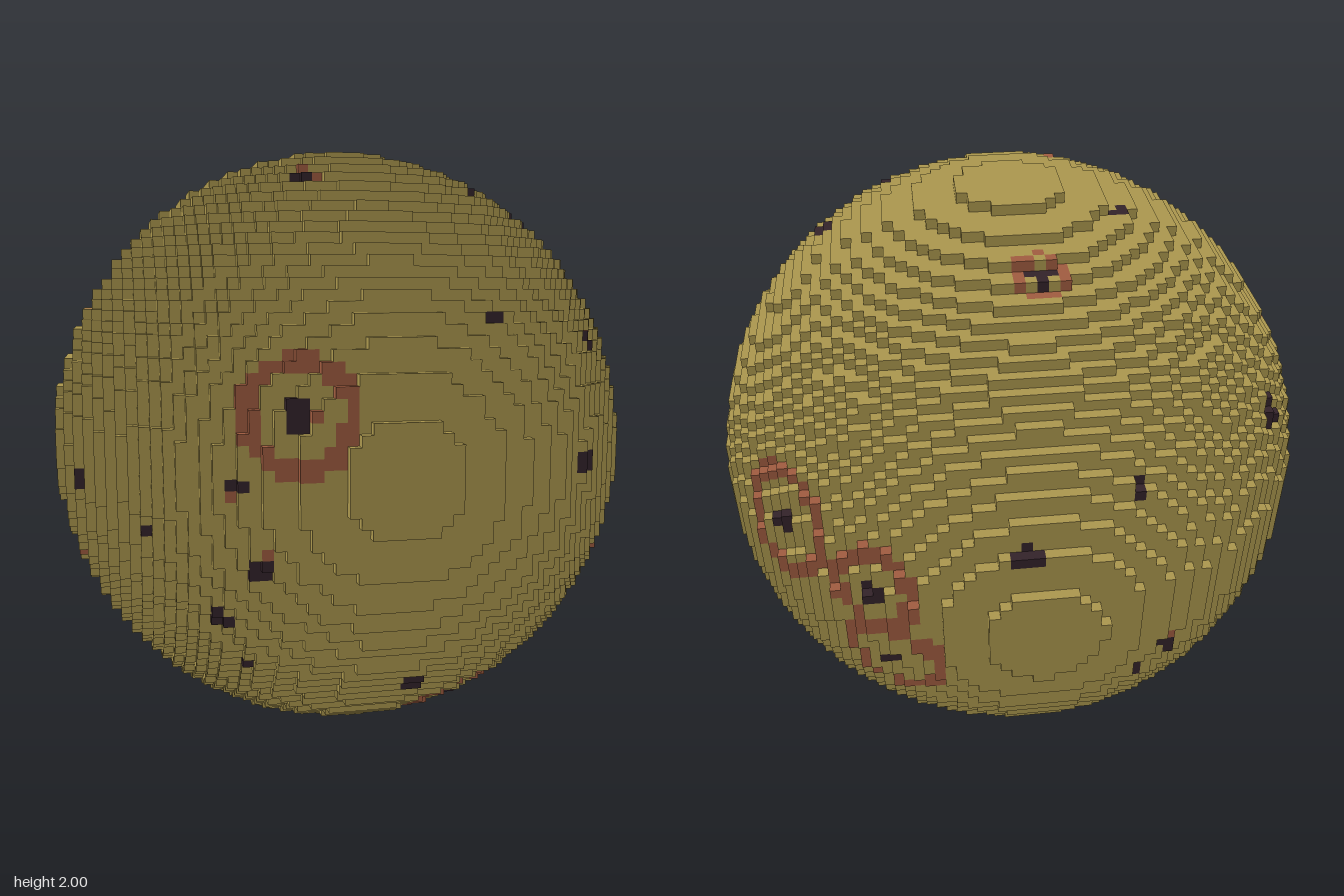
import * as THREE from 'three';

const HALF = 30;                 // cells from the centre to the surface
const CELL = 1 / HALF;
const CENTRE = [-0.06, -0.06, -0.01];  // slight offset of the ball within its grid, in cells

// Ringed craters: x, y, z, dark core radius, ring inner and outer radius
const CRATERS = [
  [-0.30, 1.19, 0.93, 0.047, 0.125, 0.185],
  [0.90, 0.73, 0.33, 0.036, 0.12, 0.18],
  [0.33, 0.15, 0.40, 0.036, 0.115, 0.17],
  [0.775, 1.20, -0.60, 0.045, 0.135, 0.197],
  [0.51, 1.11, -0.85, 0.04, 0.10, 0.157],
  [0.46, 0.82, -0.87, 0.036, 0.125, 0.183],
  [-0.05, 1.90, -0.43, 0.036, 0.05, 0.085],
];

// Plain dark pits: x, y, z, radius
const PITS = [
  [-0.47, 0.98, 0.88, 0.032], [-0.40, 0.74, 0.88, 0.042], [-0.72, 0.82, 0.67, 0.026],
  [-0.51, 0.55, 0.73, 0.042], [-0.42, 0.39, 0.67, 0.026], [0.11, 0.30, 0.70, 0.036],
  [0.63, 1.00, 0.77, 0.045], [0.30, 1.45, 0.83, 0.038], [0.70, 1.38, 0.59, 0.038],
  [0.38, 1.85, 0.32, 0.03], [0.59, 1.77, 0.20, 0.056], [-0.20, 1.89, 0.40, 0.038],
  [-0.92, 0.94, 0.37, 0.036], [0.98, 1.05, 0.02, 0.022], [0.97, 0.80, 0.11, 0.038],
  [0.97, 0.85, 0.09, 0.025], [0.87, 0.67, -0.37, 0.042], [0.78, 0.41, -0.22, 0.036],
  [0.61, 0.25, -0.25, 0.027], [0.05, 1.29, -0.95, 0.038], [-0.28, 1.44, -0.85, 0.03],
  [-0.80, 1.38, -0.46, 0.045], [-0.35, 1.93, -0.11, 0.036], [-0.90, 1.43, 0.01, 0.026],
  [-0.42, 0.81, -0.89, 0.034], [-0.32, 0.70, -0.90, 0.024], [-0.06, 0.67, -0.94, 0.024],
];

// Loose rusty flecks beside some pits
const FLECKS = [
  [-0.50, 0.97, 0.87, 0.022], [-0.39, 0.78, 0.89, 0.025], [0.085, 0.29, 0.70, 0.025],
  [-0.15, 1.89, 0.41, 0.025], [-0.17, 1.90, 0.36, 0.025], [0.72, 1.39, 0.56, 0.025],
  [-0.32, 1.94, -0.11, 0.025], [-0.89, 1.46, 0.01, 0.03], [-0.92, 0.67, 0.20, 0.042],
  [0.78, 0.43, -0.25, 0.027], [-0.42, 0.84, -0.88, 0.027], [-0.25, 1.19, 0.95, 0.024],
  [-0.27, 1.45, -0.84, 0.022],
];

const toDirection = ([x, y, z]) => new THREE.Vector3(x, y - 1, z).normalize();
const withDirection = (list) => list.map((s) => ({ dir: toDirection(s), size: s.slice(3) }));

const craters = withDirection(CRATERS);
const pits = withDirection(PITS);
const flecks = withDirection(FLECKS);

function solid(c) {
  let sum = 0;
  for (let d = 0; d < 3; d++) {
    if (c[d] < -HALF || c[d] >= HALF) return false;
    sum += (c[d] + 0.5 - CENTRE[d]) ** 2;
  }
  return sum <= HALF * HALF;
}

// Decide which part a surface cell belongs to
function partOf(c) {
  const p = new THREE.Vector3(c[0] + 0.5, c[1] + 0.5, c[2] + 0.5).normalize();
  const near = (s) => p.distanceTo(s.dir) < s.size[0];
  if (pits.some(near) || craters.some(near)) return 'darkPits';
  const onRing = (s) => {
    const r = p.distanceTo(s.dir);
    return r > s.size[1] && r < s.size[2];
  };
  if (flecks.some(near) || craters.some(onRing)) return 'craterRings';
  return 'ballSurface';
}

export function createModel() {
  const materials = {
    ballSurface: new THREE.MeshStandardMaterial({ color: 0xab974e }),
    craterRings: new THREE.MeshStandardMaterial({ color: 0xa05c40 }),
    darkPits: new THREE.MeshStandardMaterial({ color: 0x33232a }),
  };
  materials.ballSurface.name = 'ochre';
  materials.craterRings.name = 'rust';
  materials.darkPits.name = 'nearBlack';

  const parts = {};
  for (const key in materials) parts[key] = { position: [], normal: [], index: [] };

  // One square face, wound outward
  function addFace(part, c, axis, side) {
    const u = (axis + 1) % 3, v = (axis + 2) % 3;
    const start = part.position.length / 3;
    for (const [a, b] of [[0, 0], [1, 0], [1, 1], [0, 1]]) {
      const p = [...c], n = [0, 0, 0];
      p[axis] += side > 0 ? 1 : 0;
      p[u] += a;
      p[v] += b;
      n[axis] = side;
      part.position.push(p[0] * CELL, p[1] * CELL + 1, p[2] * CELL);
      part.normal.push(...n);
    }
    const order = side > 0 ? [0, 1, 2, 0, 2, 3] : [0, 2, 1, 0, 3, 2];
    part.index.push(...order.map((i) => start + i));
  }

  // Stepped ball: only faces open to the air
  for (let x = -HALF; x < HALF; x++)
    for (let y = -HALF; y < HALF; y++)
      for (let z = -HALF; z < HALF; z++) {
        const c = [x, y, z];
        if (!solid(c)) continue;
        let part = null;
        for (let axis = 0; axis < 3; axis++)
          for (const side of [-1, 1]) {
            const next = [...c];
            next[axis] += side;
            if (solid(next)) continue;
            part = part || parts[partOf(c)];
            addFace(part, c, axis, side);
          }
      }

  const group = new THREE.Group();
  group.name = 'steppedBall';
  for (const key in parts) {
    const g = new THREE.BufferGeometry();
    g.setAttribute('position', new THREE.Float32BufferAttribute(parts[key].position, 3));
    g.setAttribute('normal', new THREE.Float32BufferAttribute(parts[key].normal, 3));
    g.setIndex(parts[key].index);
    const mesh = new THREE.Mesh(g, materials[key]);
    mesh.name = key;
    group.add(mesh);
  }
  return group;
}
